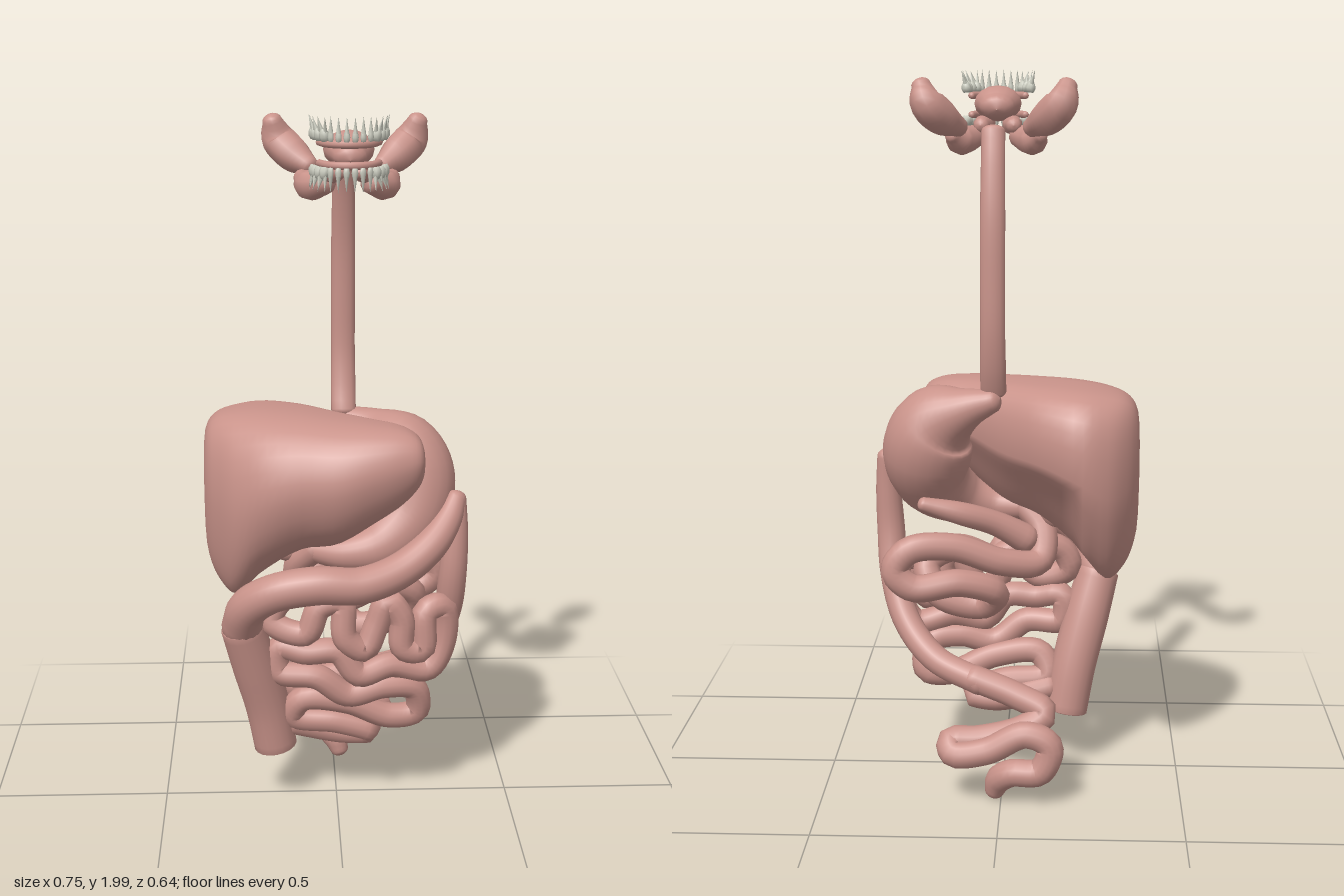
import * as THREE from 'three';

const V = (x, y, z) => new THREE.Vector3(x, y, z);
const flesh = new THREE.MeshStandardMaterial({ color: 0xc9938a });
const enamel = new THREE.MeshStandardMaterial({ color: 0xcccdc0 });
const CX = 0.025; // midline of the head and throat

// Skin a list of rings (each an array of Vector3, same length) with smooth normals
function skin(rings) {
  const n = rings[0].length, pos = [], idx = [];
  rings.forEach(ring => ring.forEach(p => pos.push(p.x, p.y, p.z)));
  for (let i = 0; i < rings.length - 1; i++) {
    for (let j = 0; j < n; j++) {
      const k = (j + 1) % n, a = i * n + j, b = i * n + k;
      idx.push(a, b, a + n, b, b + n, a + n);
    }
  }
  const g = new THREE.BufferGeometry();
  g.setAttribute('position', new THREE.Float32BufferAttribute(pos, 3));
  g.setIndex(idx);
  g.computeVertexNormals();
  return g;
}

// Closed tube through [x, y, z, radius] points; bulge sets how far the ends round out
function sweep(pts, steps = 40, sides = 14, defaultR = 0.03, bulge = 0.8) {
  const path = new THREE.CatmullRomCurve3(pts.map(p => V(p[0], p[1], p[2])));
  const radii = new THREE.CatmullRomCurve3(pts.map((p, i) => V(p[3] ?? defaultR, i, 0)), false, 'catmullrom', 0.5);
  const { tangents, normals, binormals } = path.computeFrenetFrames(steps);
  const rings = [];
  const addRing = (i, angle) => {
    const t = path.getUtoTmapping(i / steps), c = path.getPoint(t), R = radii.getPoint(t).x;
    c.addScaledVector(tangents[i], R * bulge * Math.sin(angle));
    const r = Math.max(R * Math.cos(angle), 0.0005), ring = [];
    for (let j = 0; j < sides; j++) {
      const a = j / sides * Math.PI * 2;
      ring.push(c.clone().addScaledVector(normals[i], r * Math.cos(a)).addScaledVector(binormals[i], r * Math.sin(a)));
    }
    rings.push(ring);
  };
  for (const a of [-1.57, -1.1, -0.75, -0.4]) addRing(0, a);
  for (let i = 0; i <= steps; i++) addRing(i, 0);
  for (const a of [0.4, 0.75, 1.1, 1.57]) addRing(steps, a);
  return skin(rings);
}

// Liver: rounded sections along x, each [x, yMin, yMax, zMin, zMax]
function liverGeometry() {
  const secs = [
    [-0.375, 0.88, 1.0, -0.16, -0.08], [-0.366, 0.73, 1.1, -0.2, -0.01], [-0.335, 0.65, 1.135, -0.25, 0.045],
    [-0.29, 0.61, 1.15, -0.29, 0.105], [-0.21, 0.69, 1.16, -0.31, 0.16], [-0.1, 0.77, 1.16, -0.255, 0.195],
    [0, 0.8, 1.155, -0.16, 0.218], [0.1, 0.87, 1.15, -0.06, 0.212], [0.18, 0.93, 1.14, 0.0, 0.195],
    [0.225, 0.985, 1.115, 0.05, 0.175], [0.24, 1.03, 1.07, 0.09, 0.14]];
  const ys = new THREE.CatmullRomCurve3(secs.map(s => V(s[0], s[1], s[2])));
  const zs = new THREE.CatmullRomCurve3(secs.map(s => V(s[0], s[3], s[4])));
  const soft = (v, e) => Math.sign(v) * Math.abs(v) ** e;
  const rings = [], N = 36, M = 32;
  for (let i = 0; i <= N; i++) {
    const a = ys.getPoint(i / N), b = zs.getPoint(i / N), ring = [];
    const end = i === 0 || i === N ? 0.01 : 1;
    for (let j = 0; j < M; j++) {
      const t = j / M * Math.PI * 2, ct = Math.cos(t), st = Math.sin(t);
      const e = ct < 0 ? 0.75 : st < 0 ? 0.6 : 0.85; // square upper back edge, sloping front
      const c = soft(ct, e), s = soft(st, e);
      const low = Math.max(0, -c), back = Math.max(0, -s);
      const hollow = a.x > -0.2 ? 0.5 * back : 0; // underside scooped out at the back
      ring.push(V(a.x,
        (a.y + a.z) / 2 + (a.z - a.y) / 2 * c * (1 - (c < 0 ? hollow : 0)) * end,
        (b.y + b.z) / 2 + (b.z - b.y) / 2 * s * (1 - (s < 0 ? 0.4 : 0.25) * low) * end));
    }
    rings.push(ring);
  }
  return skin(rings);
}

// One tooth, crown down and roots up
function tooth(size, molar) {
  const g = new THREE.Group();
  const profile = [[0.001, -0.02], [0.007, -0.019], [0.009, -0.008], [0.007, 0.003], [0.004, 0.01], [0.001, 0.012]];
  const crown = new THREE.Mesh(new THREE.LatheGeometry(profile.map(p => new THREE.Vector2(p[0], p[1])), 8), enamel);
  crown.name = 'crown';
  crown.scale.set(size, 1, molar ? size : 0.7);
  g.add(crown);
  for (const s of molar ? [-1, 1] : [0]) {
    const root = new THREE.Mesh(new THREE.ConeGeometry(0.0065, 0.042, 6), enamel);
    root.name = 'root';
    root.position.set(s * 0.009, 0.022, 0);
    root.rotation.z = -s * 0.22;
    g.add(root);
  }
  return g;
}

export function createModel() {
  const model = new THREE.Group();
  const add = (name, geo, parent = model) => {
    const m = new THREE.Mesh(geo, flesh);
    m.name = name;
    parent.add(m);
    return m;
  };

  // Throat: wider than deep
  const gullet = add('esophagus', sweep([
    [0, 1.84, -0.11, 0.02], [0, 1.76, -0.133, 0.02], [0, 1.62, -0.158, 0.021], [0, 1.45, -0.166, 0.021],
    [0, 1.3, -0.163, 0.021], [0, 1.2, -0.145, 0.022], [0, 1.14, -0.125, 0.022]], 30));
  gullet.scale.x = 1.6;
  gullet.position.x = CX;

  // Upper abdomen
  add('liver', liverGeometry());
  add('stomach', sweep([
    [0.03, 1.115, -0.135, 0.033], [0.1, 1.09, -0.115, 0.06], [0.18, 1.04, -0.068, 0.112], [0.213, 0.96, -0.04, 0.126],
    [0.2, 0.865, 0.01, 0.108], [0.12, 0.795, 0.06, 0.077], [0.03, 0.775, 0.07, 0.051], [-0.06, 0.775, 0.04, 0.036]], 40, 24));
  add('gallbladder', sweep([
    [-0.13, 0.9, -0.06, 0.02], [-0.13, 0.83, -0.03, 0.035], [-0.14, 0.76, 0.0, 0.038]], 14));
  add('pancreas', sweep([
    [0.22, 0.82, -0.12, 0.02], [0.12, 0.79, -0.1, 0.032], [0.02, 0.75, -0.06, 0.035], [-0.06, 0.7, -0.03, 0.042]], 20));

  // Large intestine
  add('ascendingColon', sweep([
    [-0.178, 0.17, 0.02, 0.062], [-0.2, 0.3, 0.035, 0.064], [-0.235, 0.44, 0.065, 0.065], [-0.27, 0.57, 0.1, 0.06]],
  20, 18, 0.06, 0.12));
  add('transverseColon', sweep([
    [-0.27, 0.57, 0.1, 0.058], [-0.25, 0.645, 0.15, 0.056], [-0.18, 0.7, 0.188, 0.054], [-0.06, 0.725, 0.2, 0.054],
    [0.06, 0.72, 0.19, 0.052], [0.17, 0.75, 0.155, 0.05], [0.26, 0.81, 0.11, 0.047], [0.31, 0.87, 0.065, 0.04],
    [0.335, 0.92, 0.035, 0.029]], 44, 18));
  add('descendingColon', sweep([
    [0.335, 0.92, 0.035, 0.029], [0.334, 0.82, 0.045, 0.036], [0.328, 0.7, 0.045, 0.04], [0.318, 0.58, 0.015, 0.04],
    [0.277, 0.46, -0.05, 0.039], [0.19, 0.37, -0.12, 0.038], [0.06, 0.32, -0.17, 0.038]], 36, 16));
  // S-shaped loops ending in the rectum
  add('sigmoidColonAndRectum', sweep([
    [0.08, 0.33, -0.165], [-0.04, 0.29, -0.19], [-0.12, 0.25, -0.215], [-0.06, 0.21, -0.235], [0.06, 0.18, -0.24],
    [0.14, 0.175, -0.245], [0.13, 0.15, -0.275], [0.04, 0.16, -0.28], [-0.07, 0.21, -0.28], [-0.135, 0.18, -0.285],
    [-0.11, 0.105, -0.285], [-0.03, 0.095, -0.275], [0.005, 0.065, -0.25], [0.018, 0.03, -0.24, 0.028]], 80, 14, 0.038));

  // Small intestine
  add('duodenum', sweep([
    [-0.06, 0.78, 0.04], [-0.11, 0.72, 0], [-0.1, 0.64, -0.05], [0, 0.65, -0.1], [0.14, 0.7, -0.13],
    [0.26, 0.695, -0.155], [0.3, 0.64, -0.16], [0.25, 0.59, -0.16], [0.12, 0.6, -0.14], [0.02, 0.56, -0.1],
    [0.06, 0.51, -0.06], [0.18, 0.54, -0.06], [0.22, 0.62, -0.02], [0.14, 0.66, 0.01], [0.03, 0.62, 0.02]], 90, 12, 0.039));
  add('smallIntestine', sweep([
    [0.03, 0.62, 0.02], [-0.05, 0.66, 0.05], [-0.16, 0.64, 0.08], [-0.185, 0.58, 0.09], [-0.09, 0.55, 0.11],
    [-0.05, 0.63, 0.11], [0.01, 0.64, 0.11], [0.02, 0.54, 0.12], [0.075, 0.5, 0.11], [0.11, 0.57, 0.1],
    [0.14, 0.64, 0.1], [0.18, 0.59, 0.1], [0.185, 0.5, 0.1], [0.24, 0.49, 0.09], [0.25, 0.6, 0.08],
    [0.3, 0.61, 0.06], [0.305, 0.5, 0.05], [0.26, 0.42, 0.06], [0.15, 0.44, 0.08], [0.06, 0.42, 0.1],
    [0, 0.49, 0.1], [-0.09, 0.49, 0.1], [-0.165, 0.5, 0.08], [-0.165, 0.425, 0.08], [-0.06, 0.415, 0.1],
    [0.03, 0.355, 0.09], [0.13, 0.375, 0.08], [0.22, 0.36, 0.06], [0.23, 0.28, 0.04], [0.15, 0.27, 0.05],
    [0.03, 0.32, 0.06], [-0.1, 0.33, 0.06], [-0.125, 0.27, 0.04], [0, 0.25, 0.04], [0.1, 0.215, 0.03],
    [0.02, 0.205, 0.01], [-0.13, 0.24, 0.02]], 240, 12, 0.0365));

  // Mouth: tongue and paired glands
  const head = new THREE.Group();
  head.name = 'mouth';
  head.position.x = CX;
  model.add(head);
  const tongue = add('tongue', sweep([
    [0, 1.895, 0.13, 0.05], [0, 1.905, 0.17, 0.066], [0, 1.9, 0.21, 0.06], [0, 1.89, 0.25, 0.045]], 16, 16), head);
  tongue.scale.y = 0.75;
  tongue.position.y = 1.9 * 0.25;
  for (const s of [-1, 1]) {
    const side = s < 0 ? 'right' : 'left';
    add(side + 'ParotidGland', sweep([
      [s * 0.195, 1.955, -0.05, 0.028], [s * 0.18, 1.91, -0.062, 0.047], [s * 0.14, 1.87, -0.03, 0.047],
      [s * 0.1, 1.845, 0.008, 0.028]], 14, 10), head);
    add(side + 'SubmandibularGland', sweep([
      [s * 0.12, 1.82, 0.06, 0.022], [s * 0.1, 1.805, 0.1, 0.04], [s * 0.06, 1.815, 0.15, 0.031]], 12, 10), head);
    add(side + 'SublingualGland', sweep([
      [s * 0.045, 1.845, 0.13, 0.022], [s * 0.04, 1.845, 0.18, 0.028], [s * 0.025, 1.85, 0.23, 0.016]], 10, 10), head);
  }

  // Two arches of teeth, roots pointing away from the bite
  for (const up of [1, -1]) {
    const arch = new THREE.Group();
    arch.name = up > 0 ? 'upperTeeth' : 'lowerTeeth';
    arch.position.set(0, up > 0 ? 1.953 : 1.848, 0.195);
    for (let i = 0; i < 14; i++) {
      const a = (i - 6.5) / 6.5 * 1.5, molar = Math.abs(i - 6.5) > 3;
      const t = tooth(molar ? 1.6 : 0.95, molar);
      t.name = 'tooth';
      t.position.set(0.092 * Math.sin(a), 0, (up > 0 ? 0.115 : 0.1) * Math.cos(a));
      t.rotation.set(molar ? up * 0.25 : 0, a, 0, 'YXZ'); // back teeth lean outward at the roots
      t.scale.y = up;
      arch.add(t);
    }
    head.add(arch);
    // Gum ridge behind the crowns
    const gum = [];
    for (let k = -3; k <= 3; k++) {
      gum.push([0.078 * Math.sin(k * 0.45), up > 0 ? 1.925 : 1.872, 0.185 + 0.1 * Math.cos(k * 0.45), 0.01]);
    }
    add(up > 0 ? 'upperGum' : 'lowerGum', sweep(gum, 24, 8), head);
  }
  return model;
}
